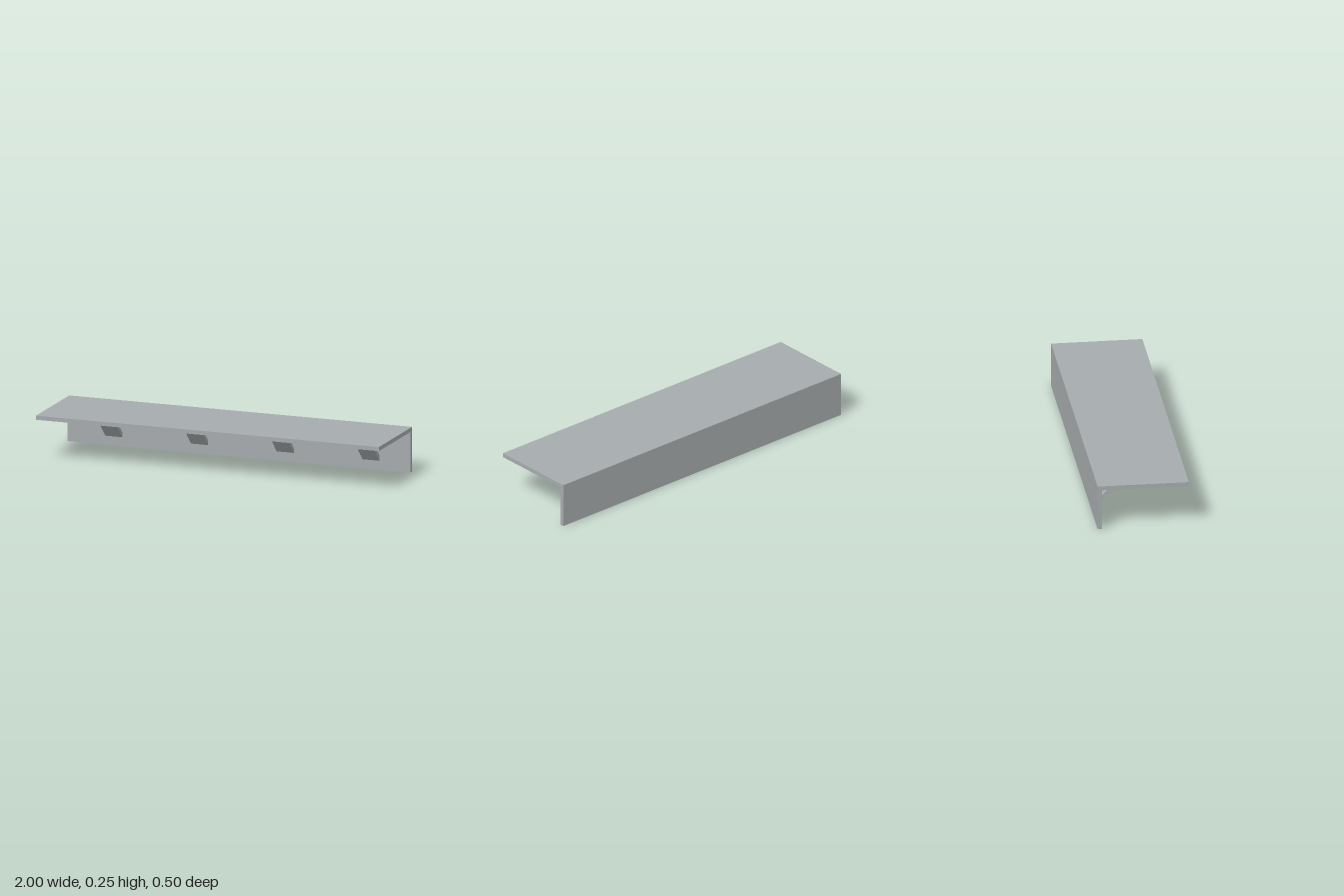
import * as THREE from 'three';

export function createModel() {
  const group = new THREE.Group();
  const greyMetal = new THREE.MeshStandardMaterial({ color: 0xa6abad });

  const length = 2, depth = 0.5, height = 0.25;
  const shelfThickness = 0.023, wallThickness = 0.025;
  const shelfUnderside = height - shelfThickness;

  const add = (name, geometry, x, y, z) => {
    const mesh = new THREE.Mesh(geometry, greyMetal);
    mesh.name = name;
    mesh.position.set(x, y, z);
    group.add(mesh);
  };

  // Horizontal shelf board
  add('shelfBoard', new THREE.BoxGeometry(length, shelfThickness, depth), 0, height - shelfThickness / 2, 0);

  // Upright plate along the back edge
  add('backPlate', new THREE.BoxGeometry(length, shelfUnderside, wallThickness),
    0, shelfUnderside / 2, -depth / 2 + wallThickness / 2);

  // Diagonal braces, mitred against the plate and the board (profile x is -z)
  const braceWidth = 0.1;
  const profile = new THREE.Shape([
    new THREE.Vector2(0.225, 0.05),
    new THREE.Vector2(0.225, 0.077),
    new THREE.Vector2(0.075, shelfUnderside),
    new THREE.Vector2(0.048, shelfUnderside),
  ]);
  const braceGeometry = new THREE.ExtrudeGeometry(profile, { depth: braceWidth, bevelEnabled: false });
  braceGeometry.translate(0, 0, -braceWidth / 2).rotateY(Math.PI / 2);
  for (let i = 0; i < 4; i++) add('diagonalBrace' + (i + 1), braceGeometry, -0.73 + i * 0.5, 0, 0);

  return group;
}
